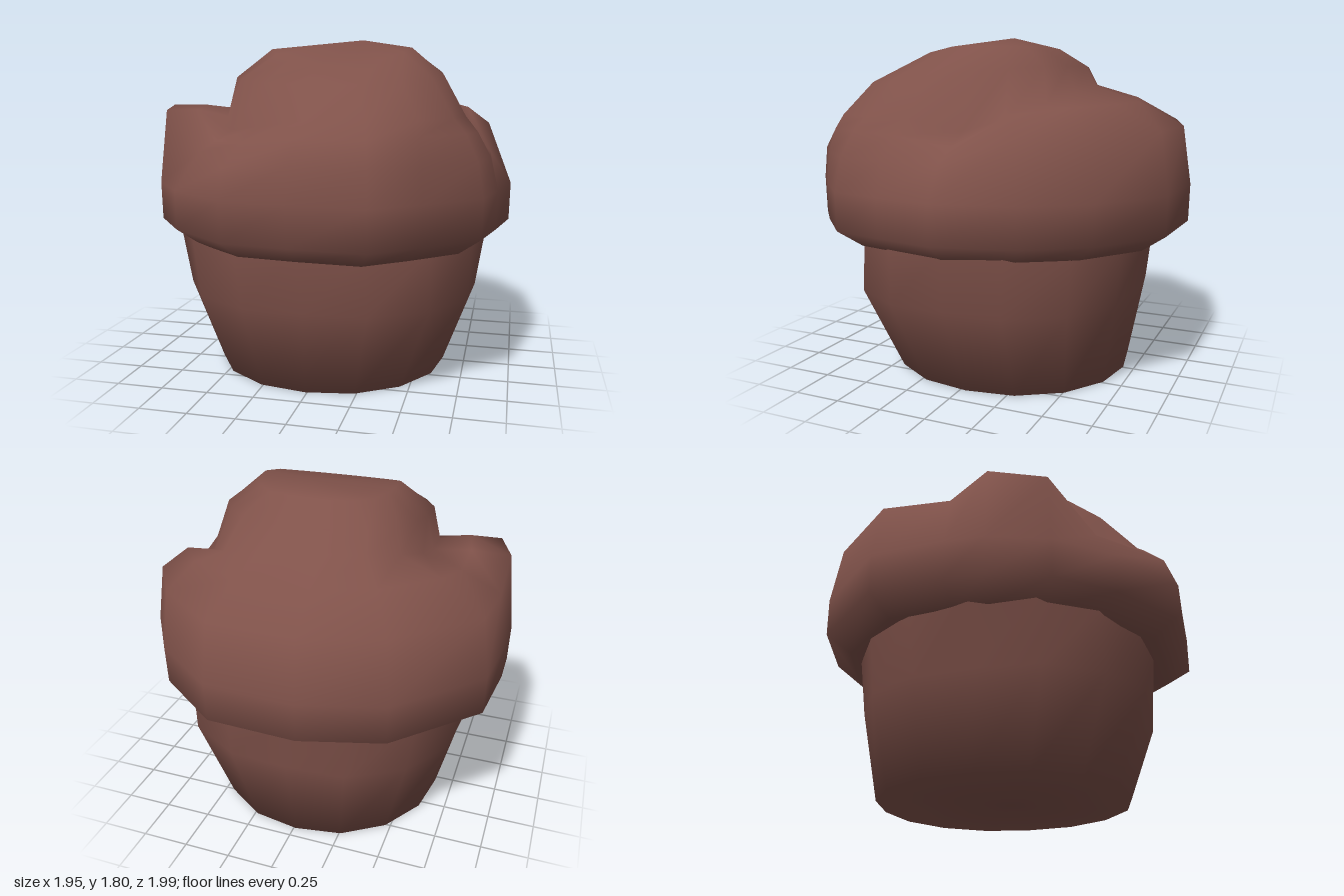
import * as THREE from 'three';

// Smooth skin through closed rings (listed bottom to top), with optional end points
function loft(rings, bottom, top) {
  const n = rings[0].length, pos = rings.flat(2), idx = [];
  for (let r = 0; r < rings.length - 1; r++) {
    for (let i = 0; i < n; i++) {
      const j = (i + 1) % n, a = r * n + i, b = r * n + j;
      idx.push(a, a + n, b, b, a + n, b + n);
    }
  }
  const close = (point, start, up) => {
    const c = pos.length / 3;
    pos.push(...point);
    for (let i = 0; i < n; i++) {
      const a = start + i, b = start + (i + 1) % n;
      idx.push(...(up ? [a, c, b] : [a, b, c]));
    }
  };
  if (bottom) close(bottom, 0, false);
  if (top) close(top, (rings.length - 1) * n, true);
  const g = new THREE.BufferGeometry();
  g.setAttribute('position', new THREE.Float32BufferAttribute(pos, 3));
  g.setIndex(idx);
  g.computeVertexNormals();
  return g;
}

// Level oval ring from its x and z limits; corner swells the diagonals
function oval(x0, x1, z0, z1, y, corner) {
  return Array.from({ length: 16 }, (_, i) => {
    const a = (i / 16) * Math.PI * 2, swell = 1 + corner * Math.abs(Math.sin(2 * a));
    return [
      (x0 + x1) / 2 + Math.cos(a) * swell * (x1 - x0) / 2,
      y,
      (z0 + z1) / 2 + Math.sin(a) * swell * (z1 - z0) / 2,
    ];
  });
}

export function createModel() {
  const group = new THREE.Group();
  group.name = 'muffin';
  const brown = new THREE.MeshStandardMaterial({ color: 0x80524a });
  brown.name = 'baked brown';
  const add = (name, geometry) => {
    const mesh = new THREE.Mesh(geometry, brown);
    mesh.name = name;
    group.add(mesh);
  };

  // Tapered lower half, fuller at its corners
  add('base', loft([
    oval(-0.65, 0.63, -0.69, 0.63, 0, 0.02),
    oval(-0.77, 0.8, -0.75, 0.77, 0.46, 0.08),
    oval(-0.87, 0.85, -0.81, 0.8, 0.77, 0.02),
  ], [0, 0, 0]));

  // Crust columns: [outline x, z], [shoulder scale, height], crest lift, [dome foot x, y, z]
  const columns = [
    [[-0.15, -1], [0.95, 1.34], 0.02, [-0.1, 1.55, -0.47]],
    [[0.32, -0.98], [0.95, 1.34], 0.03, [0.22, 1.53, -0.46]],
    [[0.68, -0.72], [0.95, 1.34], 0.05, [0.46, 1.47, -0.4]],
    [[0.88, -0.42], [0.95, 1.33], 0.06, [0.6, 1.4, -0.24]],
    [[0.98, -0.02], [0.88, 1.2], 0, [0.7, 1.34, -0.06]],
    [[0.92, 0.3], [0.95, 1.2], 0.02, [0.74, 1.4, 0.22]],
    [[0.86, 0.58], [0.96, 1.2], 0.03, [0.7, 1.4, 0.48]],
    [[0.6, 0.82], [0.98, 1.2], 0.03, [0.56, 1.4, 0.72]],
    [[0.38, 1], [0.98, 1.2], 0.02, [0.34, 1.4, 0.85]],
    [[0, 0.98], [0.99, 1.2], 0.02, [0.05, 1.4, 0.85]],
    [[-0.34, 0.94], [0.96, 1.18], 0.02, [-0.22, 1.36, 0.7]],
    [[-0.68, 0.68], [0.85, 1.22], 0, [-0.42, 1.33, 0.52]],
    [[-0.89, 0.4], [0.95, 1.42], 0.02, [-0.51, 1.39, 0.34]],
    [[-0.98, 0.1], [0.95, 1.44], 0.01, [-0.52, 1.42, 0.1]],
    [[-0.98, -0.1], [0.94, 1.3], 0.02, [-0.5, 1.45, -0.05]],
    [[-0.94, -0.48], [0.95, 1.33], 0.04, [-0.44, 1.52, -0.28]],
    [[-0.56, -0.88], [0.95, 1.35], 0.03, [-0.3, 1.55, -0.42]],
  ];
  const ring = (scale, y) => columns.map(([[x, z]]) => [x * scale, y, z * scale]);
  const shoulder = columns.map(([[x, z], [scale, y]]) => [x * scale, y, z * scale]);
  const foot = columns.map((c) => c[3]);
  const crest = foot.map((p, i) => p.map((v, k) => (v + shoulder[i][k]) / 2 + (k === 1 ? columns[i][2] : 0)));

  // Overhanging crust rising into the swollen dome, which leans to the front
  add('crust', loft([
    ring(0.77, 0.75),
    ring(0.86, 0.74),
    ring(0.99, 0.83),
    ring(0.995, 1.03),
    shoulder,
    crest,
    foot,
    foot.map(([x, , z]) => [0.88 * x - 0.03, 1.62 - 0.07 * z, 0.842 * z - 0.014]),
    foot.map(([x, , z]) => [0.6 * x, Math.min(1.75, 1.8 - 0.16 * z), 0.55 * z]),
  ], null, [0.14, 1.8, -0.09]));

  return group;
}
